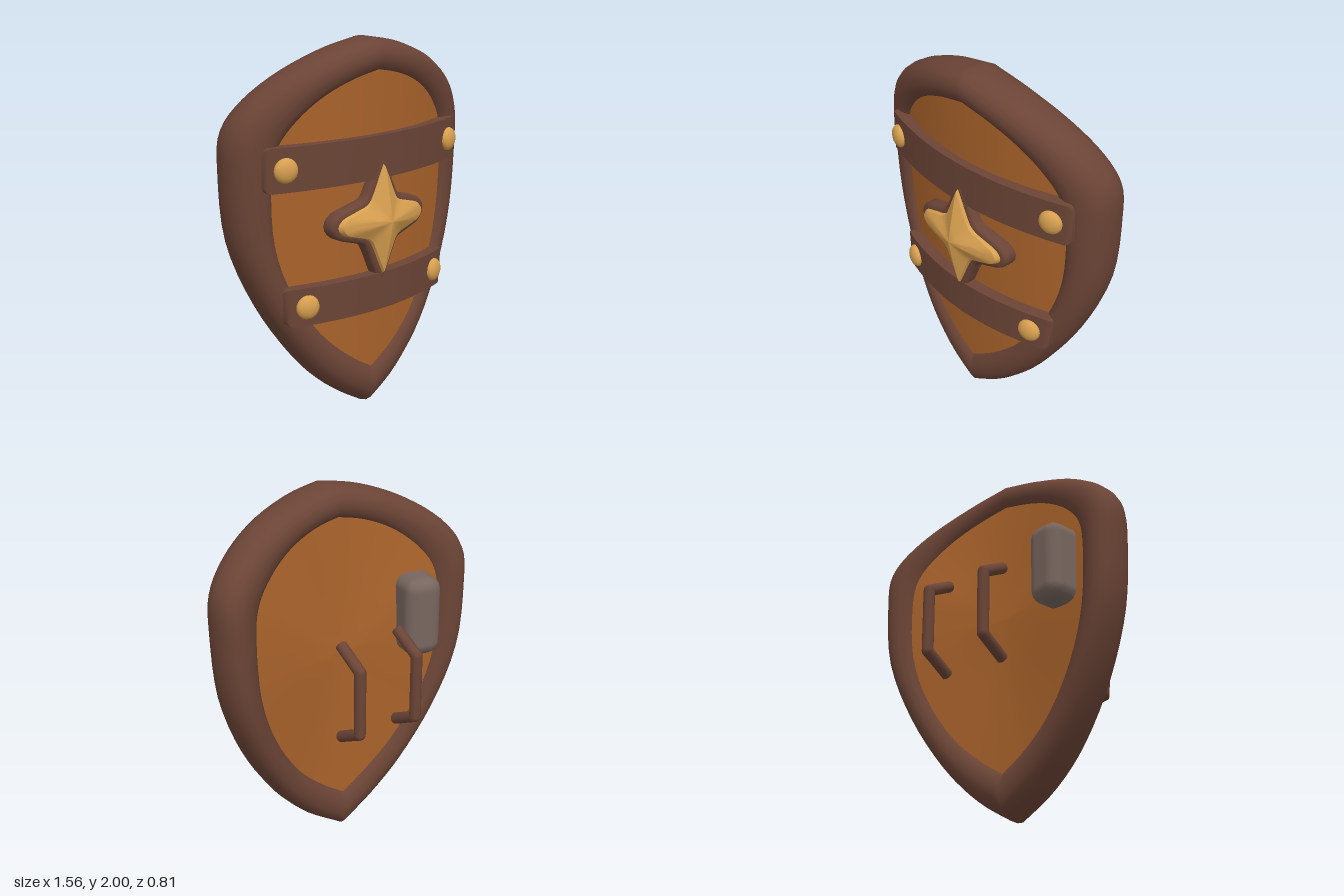
import * as THREE from 'three';
import { toCreasedNormals } from 'three/addons/utils/BufferGeometryUtils.js';
import { RoundedBoxGeometry } from 'three/addons/geometries/RoundedBoxGeometry.js';

const V2 = (p) => new THREE.Vector2(p[0], p[1]);

// Joins closed rings of points (each counter-clockwise from the front) into a skin
function loft(rings, crease) {
  const n = rings[0].length;
  const index = [];
  for (let i = 0; i < rings.length - 1; i++) {
    for (let j = 0; j < n; j++) {
      const a = i * n + j, d = i * n + (j + 1) % n;
      const b = a + n, c = d + n;
      index.push(a, b, c, a, c, d);
    }
  }
  const g = new THREE.BufferGeometry();
  g.setAttribute('position', new THREE.Float32BufferAttribute(rings.flat(2), 3));
  g.setIndex(index);
  return toCreasedNormals(g, crease);
}

// Right half of an outline, top to bottom, made into a full counter-clockwise loop
function outline(half, steps = 40) {
  const right = new THREE.SplineCurve(half.map(V2)).getPoints(steps);
  const left = right.map((p) => new THREE.Vector2(-p.x, p.y));
  return [...left, ...right.slice(1, -1).reverse()];
}

const OUTER = outline([[0, 2], [0.22, 1.955], [0.46, 1.86], [0.65, 1.73], [0.76, 1.58], [0.775, 1.38],
  [0.74, 1], [0.6, 0.64], [0.4, 0.33], [0.2, 0.13], [0, 0]]);
const INNER = outline([[0, 1.81], [0.15, 1.775], [0.3, 1.71], [0.43, 1.61], [0.525, 1.48], [0.555, 1.3],
  [0.54, 1], [0.46, 0.75], [0.32, 0.53], [0.155, 0.375], [0, 0.27]]);

// Curvature of the shield body and of the straps
const bodyZ = (x, y) => 0.135 + 0.025 * y - 0.29 * x * x;
const panelZ = (x, y) => bodyZ(x, y) + 0.11 - 0.04 * x * x;
const strapZ = (x, curve) => 0.33 - curve * x * x;

// Padded edge, its section leaning with the curve of the body
function rimGeometry() {
  const rings = [];
  const soft = (v) => Math.sign(v) * Math.abs(v) ** 0.88;
  for (let k = 0; k <= 18; k++) {
    const a = Math.PI / 2 - (k / 18) * Math.PI * 2;
    const across = soft(Math.cos(a));
    rings.push(OUTER.map((o, j) => {
      const p = INNER[j].clone().lerp(o, 0.5 + 0.5 * across);
      const depth = (0.142 - 0.015 * Math.abs(p.x)) * soft(Math.sin(a));
      return [p.x * (1 + 0.25 * depth), p.y, bodyZ(p.x, p.y) + depth];
    }));
  }
  return loft(rings, 0.8);
}

// Domed front and an almost flat back that meets the rim near its rear edge
function panelGeometry() {
  const centre = new THREE.Vector2(0, 1.1);
  const edge = INNER.map((p, j) => p.clone().lerp(OUTER[j], 0.35));
  const front = [0.001, 0.2, 0.4, 0.6, 0.8, 1].map((f) => edge.map((e) => {
    const p = centre.clone().lerp(e, f);
    return [p.x, p.y, panelZ(p.x, p.y)];
  }));
  const back = [1, 0.5, 0.001].map((f) => edge.map((e) => {
    const p = centre.clone().lerp(e, f);
    return [p.x, p.y, THREE.MathUtils.lerp(0.035, bodyZ(e.x, e.y) - 0.105, f)];
  }));
  return loft([...front, ...back], 0.8);
}

// Rounded bar bent to follow the shield, optionally narrower along its lower edge
function strapGeometry({ width, height, thick, curve, taper }) {
  const b = 0.03, h = height / 2 - b;
  const s = new THREE.Shape([[b - thick, -h], [-b, -h], [-b, h], [b - thick, h]].map(V2));
  const g = new THREE.ExtrudeGeometry(s, {
    depth: width - 2 * b, steps: 24, bevelSize: b, bevelThickness: b, bevelSegments: 4,
  });
  g.translate(0, 0, b - width / 2);
  g.rotateY(Math.PI / 2);
  const p = g.attributes.position;
  for (let i = 0; i < p.count; i++) {
    const x = p.getX(i) * (1 + taper * p.getY(i));
    p.setXYZ(i, x, p.getY(i), strapZ(x, curve) - thick + p.getZ(i));
  }
  return toCreasedNormals(g, 0.7);
}

const STAR = outline([[0, 0.305], [0.033, 0.235], [0.064, 0.165], [0.105, 0.1], [0.19, 0.07], [0.27, 0.043],
  [0.3, 0], [0.27, -0.043], [0.19, -0.07], [0.105, -0.1], [0.064, -0.165], [0.033, -0.235], [0, -0.305]], 36);

function starGeometry() {
  const layers = [[0.001, 0.405], [0.3, 0.39], [0.65, 0.367], [0.92, 0.348], [1, 0.315]];
  return loft(layers.map(([f, z]) => STAR.map((p) => [p.x * f, p.y * f, z - 0.12 * (p.x * f) ** 2])), 0.6);
}

function starBorderGeometry() {
  const g = new THREE.ExtrudeGeometry(new THREE.Shape(STAR), {
    depth: 0.05, bevelSize: 0.026, bevelThickness: 0.02, bevelSegments: 3,
  });
  g.translate(0, 0, 0.262);
  const p = g.attributes.position;
  for (let i = 0; i < p.count; i++) p.setZ(i, p.getZ(i) - 0.2 * p.getX(i) ** 2);
  return toCreasedNormals(g, 0.7);
}

export function createModel() {
  const mat = (name, color) => {
    const m = new THREE.MeshStandardMaterial({ color });
    m.name = name;
    return m;
  };
  const brown = mat('dark brown', 0x6b4436);
  const wood = mat('orange wood', 0xaa632b);
  const gold = mat('gold', 0xd8a050);
  const grey = mat('warm grey', 0x78665f);

  const model = new THREE.Group();
  model.name = 'shield';
  const add = (name, geometry, material, x = 0, y = 0, z = 0, parent = model) => {
    const m = new THREE.Mesh(geometry, material);
    m.name = name;
    m.position.set(x, y, z);
    parent.add(m);
    return m;
  };

  // Body
  add('rim', rimGeometry(), brown);
  add('panel', panelGeometry(), wood);

  // Straps with a stud at each end
  const studGeo = new THREE.SphereGeometry(0.063, 16, 12);
  for (const strap of [
    { name: 'upper', y: 1.4, width: 1.33, height: 0.225, thick: 0.11, curve: 0.27, taper: 0, studX: 0.57 },
    { name: 'lower', y: 0.68, width: 1.12, height: 0.2, thick: 0.09, curve: 0.33, taper: 0.2, studX: 0.455 },
  ]) {
    const { name, y, curve, studX } = strap;
    add(name + 'Strap', strapGeometry(strap), brown, 0, y);
    for (const side of [-1, 1]) {
      const stud = add(name + 'Stud', studGeo, gold, side * studX, y, strapZ(studX, curve) + 0.004);
      stud.scale.z = 0.55;
      stud.rotation.y = side * Math.atan(2 * curve * studX);
    }
  }

  // Star emblem
  add('starBorder', starBorderGeometry(), brown, 0, 1.07);
  add('star', starGeometry(), gold, 0, 1.07);

  // Two angled grips behind the shield
  const path = [[1.265, -0.205], [1.175, -0.37], [0.825, -0.37], [0.745, -0.205]]
    .map(([y, z]) => new THREE.Vector3(0, y, z));
  const up = new THREE.Vector3(0, 1, 0);
  for (const side of [-1, 1]) {
    const grip = new THREE.Group();
    grip.name = side > 0 ? 'leftGrip' : 'rightGrip';
    grip.position.x = side * 0.18;
    model.add(grip);
    for (let i = 0; i < 3; i++) {
      const a = path[i], b = path[i + 1];
      const dir = b.clone().sub(a);
      const mid = a.clone().add(b).multiplyScalar(0.5);
      const rod = add('gripRod', new THREE.CylinderGeometry(0.031, 0.031, dir.length(), 12), brown,
        mid.x, mid.y, mid.z, grip);
      rod.quaternion.setFromUnitVectors(up, dir.normalize());
      if (i > 0) add('gripElbow', new THREE.SphereGeometry(0.031, 12, 8), brown, a.x, a.y, a.z, grip);
    }
  }

  // Padded block on the back
  const pad = add('backPad', new RoundedBoxGeometry(0.21, 0.44, 0.24, 2, 0.07), grey, -0.422, 1.26, -0.06);
  pad.rotation.y = -0.2;

  return model;
}
